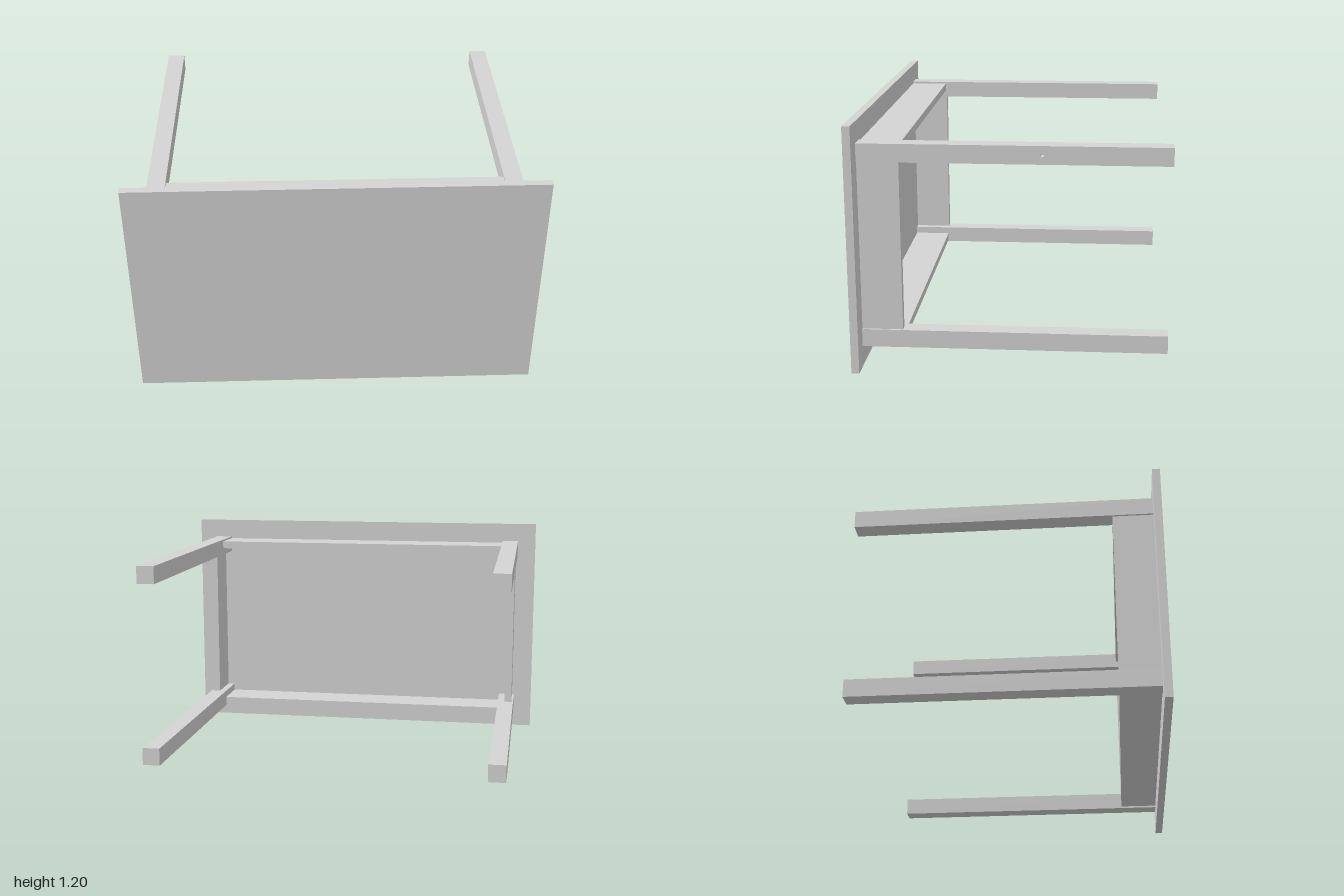
import * as THREE from 'three';

export function createModel() {
  const model = new THREE.Group();
  model.name = 'tableOnItsSide';
  const lightGrey = new THREE.MeshStandardMaterial({ color: 0xd4d4d4 });
  lightGrey.name = 'lightGrey';

  function box(name, w, h, d, x, y, z) {
    const mesh = new THREE.Mesh(new THREE.BoxGeometry(w, h, d), lightGrey);
    mesh.name = name;
    mesh.position.set(x, y, z);
    model.add(mesh);
  }

  const midY = 0.6, topBack = 0.712, back = -0.75;
  const leg = 0.0875, legX = 0.8565, legY = 0.4563;
  const legLength = topBack - back, legZ = (topBack + back) / 2;

  // Table top, standing upright and facing forward
  box('tableTop', 2, 1.2, 0.038, 0, midY, 0.731);

  // Legs; the upper left one has a small blind hole in its outer side
  for (const sx of [-1, 1]) {
    for (const sy of [-1, 1]) {
      const name = (sy > 0 ? 'upper' : 'lower') + (sx > 0 ? 'Left' : 'Right') + 'Leg';
      const y = midY + sy * legY;
      if (sx < 0 || sy < 0) {
        box(name, leg, leg, legLength, sx * legX, y, legZ);
        continue;
      }
      const depth = 0.04;
      box(name, leg - depth, leg, legLength, legX - depth / 2, y, legZ);
      // Shape x runs towards -z, shape y runs up
      const side = new THREE.Shape();
      side.moveTo(-topBack, -leg / 2);
      side.lineTo(-back, -leg / 2);
      side.lineTo(-back, leg / 2);
      side.lineTo(-topBack, leg / 2);
      side.closePath();
      const hole = new THREE.Path();
      hole.absarc(0.149, 0.002, 0.01, 0, Math.PI * 2, true);
      side.holes.push(hole);
      const geometry = new THREE.ExtrudeGeometry(side, { depth, bevelEnabled: false, curveSegments: 16 });
      const outer = new THREE.Mesh(geometry, lightGrey);
      outer.name = name + 'DrilledSide';
      outer.rotation.y = Math.PI / 2;
      outer.position.set(legX + leg / 2 - depth, y, 0);
      model.add(outer);
    }
  }

  // Aprons between the legs, slightly set in from their outer faces
  const thick = 0.04, inset = 0.01, apronDepth = 0.197;
  const apronZ = topBack - apronDepth / 2;
  const off = leg / 2 - inset - thick / 2;
  for (const s of [-1, 1]) {
    box(s > 0 ? 'upperApron' : 'lowerApron', 2 * legX - leg, thick, apronDepth, 0, midY + s * (legY + off), apronZ);
    box(s > 0 ? 'leftApron' : 'rightApron', thick, 2 * legY - leg, apronDepth, s * (legX + off), midY, apronZ);
  }
  return model;
}
